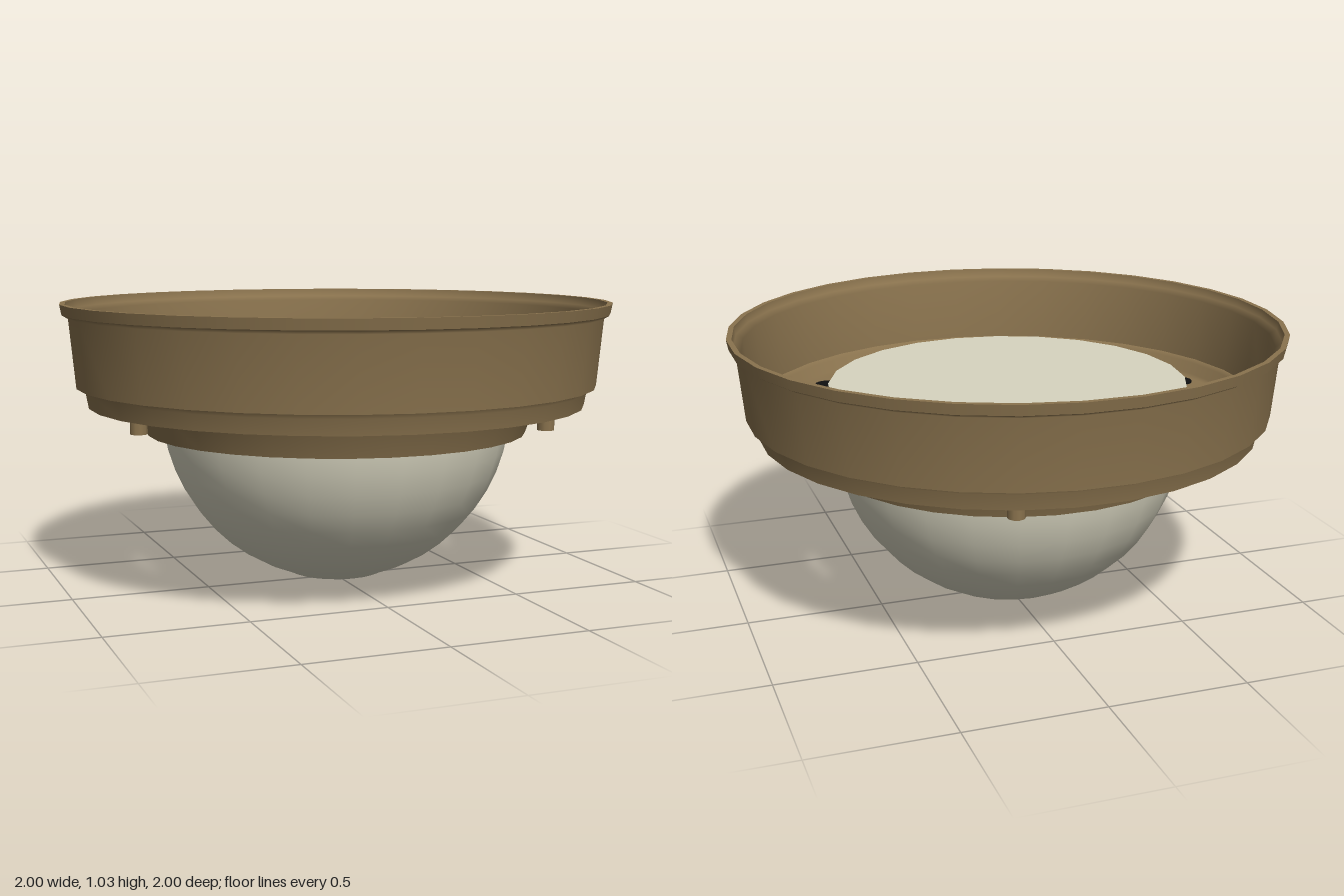
import * as THREE from 'three';

const brass = new THREE.MeshStandardMaterial({ color: 0x8a734e });
brass.name = 'antique brass';
const glass = new THREE.MeshStandardMaterial({ color: 0xd8d5c0 });
glass.name = 'frosted glass';
const black = new THREE.MeshStandardMaterial({ color: 0x101010 });
black.name = 'black fastener';

// Revolves smooth profile runs; edges between runs stay sharp.
function turned(name, runs, sides, turn, material) {
  const group = new THREE.Group();
  group.name = name;
  for (const run of runs) {
    const points = run.map(([r, y]) => new THREE.Vector2(r, y));
    const mesh = new THREE.Mesh(new THREE.LatheGeometry(points, sides, turn), material);
    mesh.name = name + 'Surface';
    group.add(mesh);
  }
  return group;
}

function cylinder(name, radius, bottom, top, sides, material) {
  const mesh = new THREE.Mesh(new THREE.CylinderGeometry(radius, radius, top - bottom, sides), material);
  mesh.name = name;
  mesh.position.y = (bottom + top) / 2;
  return mesh;
}

export function createModel() {
  const model = new THREE.Group();
  model.name = 'ceilingLight';

  // Stepped ceiling pan: skirt, underside, outer wall, rim, inner wall and floor
  model.add(turned('ceilingPan', [
    [[0.68, 0.565], [0.7, 0.565]],
    [[0.7, 0.565], [0.73, 0.66], [0.745, 0.67], [0.91, 0.67]],
    [[0.91, 0.67], [0.92, 0.725], [0.93, 0.742]],
    [[0.93, 0.742], [0.952, 0.742]],
    [[0.952, 0.742], [0.975, 0.99], [0.997, 1.003]],
    [[0.997, 1.003], [1.004, 1.04]],
    [[1.004, 1.04], [0.985, 1.04]],
    [[0.985, 1.04], [0.98, 1.01], [0.955, 0.995], [0.935, 0.76]],
    [[0.935, 0.76], [0.915, 0.75], [0.9, 0.71], [0.88, 0.7], [0.69, 0.7], [0.67, 0.68], [0.66, 0.64], [0.68, 0.565]],
  ], 32, Math.PI / 32, brass));

  // Round glass shade with a flat closed top
  const dome = [[0, 0.005], [0.09, 0.015], [0.17, 0.03]];
  for (let i = 0; i <= 10; i++) {
    const a = THREE.MathUtils.lerp(0.32, Math.PI / 2, i / 10);
    dome.push([0.643 * Math.sin(a), 0.655 - 0.643 * Math.cos(a)]);
  }
  model.add(turned('glassShade', [
    dome,
    [[0.643, 0.655], [0.655, 0.7], [0.655, 0.83]],
    [[0.655, 0.83], [0, 0.83]],
  ], 24, 0, glass));

  // Three retaining screws with black fasteners through the floor
  for (const [x, z] of [[-0.79, 0.18], [0.24, -0.78], [0.555, 0.59]]) {
    const screw = new THREE.Group();
    screw.name = 'retainingScrew';
    screw.position.set(x, 0, z);
    screw.add(
      cylinder('screwHead', 0.03, 0.61, 0.655, 10, brass),
      cylinder('screwShaft', 0.02, 0.65, 0.672, 8, brass),
      cylinder('fastener', 0.042, 0.666, 0.708, 12, black),
    );
    model.add(screw);
  }
  return model;
}
